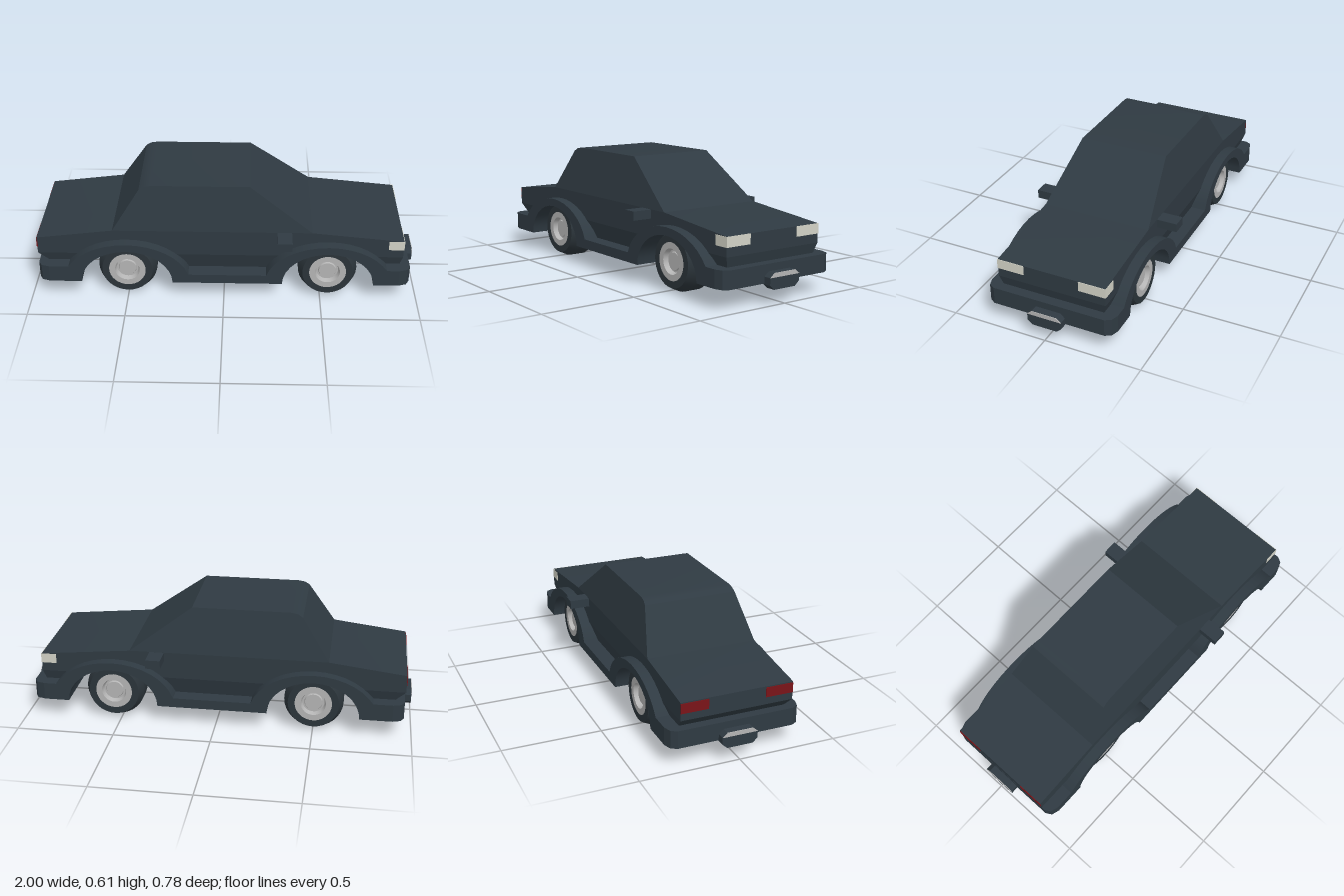
import * as THREE from 'three';
import { toCreasedNormals } from 'three/addons/utils/BufferGeometryUtils.js';

const material = (name, color) => {
  const m = new THREE.MeshStandardMaterial({ color });
  m.name = name;
  return m;
};

const REAR = -0.5, FRONT = 0.535; // axle positions
const BASE = 0.1;                 // underside height

// Points over a wheel arch, left to right, starting and ending at height y
function arch(cx, y, rx = 0.235, ry = 0.186) {
  const t0 = Math.asin((y - BASE) / ry), n = 16, pts = [];
  for (let i = 0; i <= n; i++) {
    const t = Math.PI - t0 - (i / n) * (Math.PI - 2 * t0);
    pts.push([cx + rx * Math.cos(t), BASE + ry * Math.sin(t)]);
  }
  return pts;
}

// One flank of an arch, from yLow up to yHigh (side -1 = rear flank, 1 = front flank)
function flank(cx, side, yLow, yHigh) {
  const pts = [];
  for (let i = 0; i <= 5; i++) {
    const y = yLow + ((yHigh - yLow) * i) / 5;
    pts.push([cx + side * 0.235 * Math.sqrt(1 - ((y - BASE) / 0.186) ** 2), y]);
  }
  return pts;
}

// Side profile extruded across the width; halfWidth(y) sets the taper
function slab(points, halfWidth) {
  const shape = new THREE.Shape(points.map(p => new THREE.Vector2(...p)));
  const geo = new THREE.ExtrudeGeometry(shape, { depth: 1, bevelEnabled: false });
  const pos = geo.attributes.position;
  for (let i = 0; i < pos.count; i++) {
    pos.setZ(i, (pos.getZ(i) > 0.5 ? 1 : -1) * halfWidth(pos.getY(i)));
  }
  return toCreasedNormals(geo, 0.4);
}

export function createModel() {
  const car = new THREE.Group();
  car.name = 'car';
  const paint = material('dark slate paint', 0x2f3a42);
  const rubber = material('tyre rubber', 0x2b343a);
  const silver = material('silver', 0xb4b4b4);
  const lamp = material('headlight glass', 0xd2d2c6);
  const red = material('tail light red', 0x7a1418);

  const add = (name, geo, mat, parent = car) => {
    const mesh = new THREE.Mesh(geo, mat);
    mesh.name = name;
    parent.add(mesh);
    return mesh;
  };
  const box = (name, mat, w, h, d, x, y, z) =>
    add(name, new THREE.BoxGeometry(w, h, d), mat).position.set(x, y, z);

  // Upper body with hood and boot
  add('upperBody', slab([
    [-0.96, 0.24], ...arch(REAR, 0.24), ...arch(FRONT, 0.24), [0.918, 0.24],
    [0.918, 0.335], [0.45, 0.38], [-0.57, 0.38], [-0.96, 0.332],
  ], () => 0.285), paint);

  // Lower body, tucked in towards the ground and cut by the wheel arches
  const tuck = y => 0.285 - 0.3 * (0.24 - y);
  add('lowerBodyRear', slab([[-0.96, 0.24], [-0.91, 0.19], ...flank(REAR, -1, 0.19, 0.24)], tuck), paint);
  add('lowerBodyMiddle', slab([
    ...flank(REAR, 1, BASE, 0.24).reverse(), ...flank(FRONT, -1, BASE, 0.24),
  ], tuck), paint);
  add('lowerBodyFront', slab([
    ...flank(FRONT, 1, 0.19, 0.24).reverse(), [0.905, 0.19], [0.918, 0.24],
  ], tuck), paint);

  // Cabin
  add('cabin', slab([
    [-0.57, 0.38], [0.45, 0.38], [0.13, 0.617], [-0.37, 0.617], [-0.405, 0.611], [-0.43, 0.595],
  ], y => 0.285 - 0.05 * (y - 0.38) / 0.237), paint);

  // Skirt: wheel arch flares and sills
  const flare = cx => arch(cx, 0.15, 0.325, 0.227);
  const overRear = flare(REAR).filter(p => p[0] > REAR || p[1] > 0.19);
  const overFront = flare(FRONT).filter(p => p[0] < FRONT || p[1] > 0.19);
  add('skirt', slab([
    [-0.9, BASE], ...arch(REAR, BASE), ...arch(FRONT, BASE), [0.9, BASE], [0.9, 0.19],
    [FRONT + 0.3, 0.19], ...overFront.reverse(), ...overRear.reverse(), [REAR - 0.3, 0.19], [-0.9, 0.19],
  ], () => 0.338), paint);

  // Bumpers and number plate blocks at both ends
  for (const s of [1, -1]) {
    const end = new THREE.Group();
    end.name = s > 0 ? 'frontBumper' : 'rearBumper';
    end.rotation.y = s > 0 ? 0 : Math.PI;
    car.add(end);

    const plan = new THREE.Shape([
      [0.9, -0.338], [0.94, -0.325], [0.957, -0.295], [0.957, 0.295], [0.94, 0.325], [0.9, 0.338],
    ].map(p => new THREE.Vector2(...p)));
    const bar = new THREE.ExtrudeGeometry(plan, { depth: 0.09, bevelEnabled: false });
    bar.rotateX(-Math.PI / 2).translate(0, BASE, 0);
    add('bumperBar', bar, paint, end);

    const plate = (name, pts, x0, x1, mat) => {
      const g = new THREE.ExtrudeGeometry(new THREE.Shape(pts.map(p => new THREE.Vector2(...p))),
        { depth: x1 - x0, bevelEnabled: false });
      add(name, g.rotateY(Math.PI / 2).translate(x0, 0, 0), mat, end);
    };
    plate('plateBlock', [[-0.065, 0.075], [0.065, 0.075], [0.09, 0.097], [0.09, 0.133],
      [0.065, 0.154], [-0.065, 0.154], [-0.09, 0.133], [-0.09, 0.097]], 0.95, 0.997, paint);
    plate('plateTrim', [[-0.09, 0.133], [0.09, 0.133], [0.065, 0.154], [-0.065, 0.154]], 0.996, 1, silver);
  }

  // Wheels: tyre, rim ring, recess and hub
  const lathe = pts =>
    toCreasedNormals(new THREE.LatheGeometry(pts.map(p => new THREE.Vector2(...p)), 32), 0.4).rotateX(Math.PI / 2);
  const tyre = lathe([[0, -0.087], [0.13, -0.087], [0.152, -0.04], [0.152, 0.04], [0.13, 0.087], [0.095, 0.087]]);
  const rim = lathe([[0.095, 0.087], [0.064, 0.087], [0.056, 0.062], [0.047, 0.062], [0.043, 0.07], [0, 0.07]]);
  for (const x of [REAR, FRONT]) {
    for (const s of [1, -1]) {
      const wheel = new THREE.Group();
      wheel.name = 'wheel';
      wheel.position.set(x, 0.155, s * 0.218);
      wheel.rotation.y = s > 0 ? 0 : Math.PI;
      add('tyre', tyre, rubber, wheel);
      add('rim', rim, silver, wheel);
      car.add(wheel);
    }
  }

  // Lights and mirrors on both sides
  for (const s of [1, -1]) {
    box('headlight', lamp, 0.006, 0.05, 0.142, 0.918, 0.31, s * 0.216);
    box('headlightSide', lamp, 0.08, 0.05, 0.006, 0.881, 0.31, s * 0.284);
    box('tailLight', red, 0.006, 0.05, 0.14, -0.96, 0.302, s * 0.215);
    box('mirror', paint, 0.075, 0.045, 0.12, 0.308, 0.357, s * 0.33);
  }
  return car;
}
